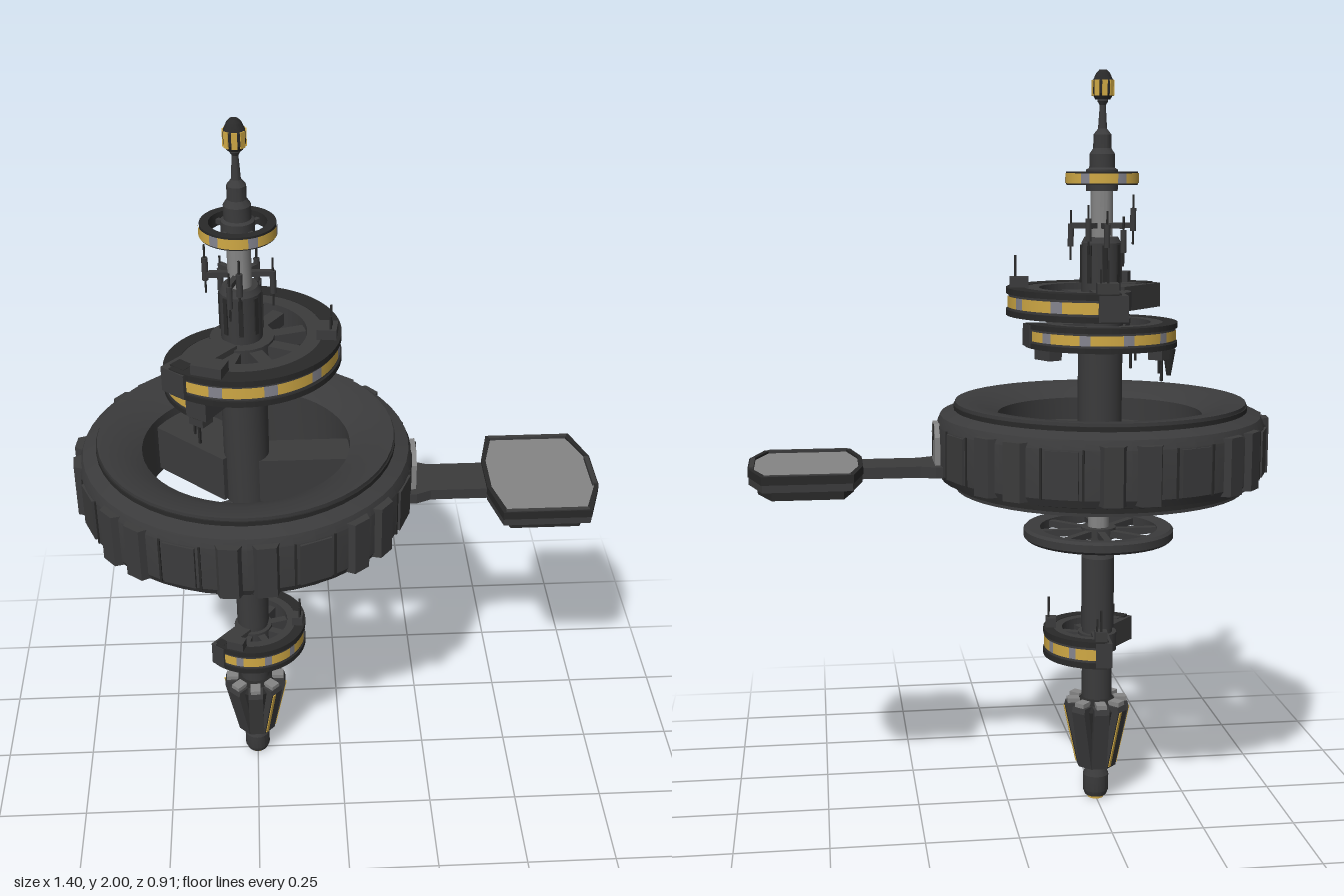
import * as THREE from 'three';
import { toCreasedNormals } from 'three/addons/utils/BufferGeometryUtils.js';

const mat = (name, color) => {
  const m = new THREE.MeshStandardMaterial({ color });
  m.name = name;
  return m;
};
const DEG = Math.PI / 180;

export function createModel() {
  const hull = mat('charcoal hull', 0x3b3b3c);
  const dark = mat('dark trim', 0x292929);
  const steel = mat('light steel', 0x858585);
  const yellow = mat('yellow lights', 0xd0a945);
  const glass = mat('grey windows', 0x85858f);

  const model = new THREE.Group();
  model.name = 'spaceStation';
  const station = new THREE.Group();
  station.name = 'station';
  station.position.x = -0.25;
  model.add(station);

  const add = (parent, name, geo, material, x = 0, y = 0, z = 0) => {
    const m = new THREE.Mesh(geo, material);
    m.name = name;
    m.position.set(x, y, z);
    parent.add(m);
    return m;
  };
  const box = (parent, name, w, h, d, material, x, y, z = 0) =>
    add(parent, name, new THREE.BoxGeometry(w, h, d), material, x, y, z);
  const lathe = (parent, name, pts, material, sides = 20) =>
    add(parent, name, toCreasedNormals(new THREE.LatheGeometry(pts.map(p => new THREE.Vector2(...p)), sides), 0.4), material);
  // group turned so that its +x points outward at the given angle
  const radial = (parent, name, deg) => {
    const g = new THREE.Group();
    g.name = name;
    g.rotation.y = deg * DEG;
    parent.add(g);
    return g;
  };
  const poly = pts => new THREE.Shape(pts.map(p => new THREE.Vector2(...p)));
  // plan shape raised upward from y = 0
  const raise = (shape, h) =>
    new THREE.ExtrudeGeometry(shape, { depth: h, bevelEnabled: false, curveSegments: 24 }).rotateX(-Math.PI / 2);
  // side-on shape in x and y, centred across z
  const slab = (pts, w) =>
    new THREE.ExtrudeGeometry(poly(pts), { depth: w, bevelEnabled: false }).translate(0, 0, -w / 2);
  const arcShape = (r0, r1, a0, a1) => {
    const s = new THREE.Shape();
    s.absarc(0, 0, r1, a0 * DEG, a1 * DEG, false);
    s.absarc(0, 0, r0, a1 * DEG, a0 * DEG, true);
    return s;
  };
  // row of yellow and grey window faces around a rim
  const lightBand = (parent, r, y, h, a0, span, count) => {
    for (let i = 0; i < count; i++) {
      const geo = new THREE.CylinderGeometry(r, r, h, 4, 1, true,
        (a0 + 90 + i * span / count) * DEG, span / count * DEG);
      add(parent, 'lightBand', geo, i % 4 === 3 ? glass : yellow, 0, y);
    }
  };

  // Central column, from the nozzle up to the tip
  lathe(station, 'nozzle', [[0, 0.01], [0.03, 0.01], [0.036, 0.025], [0.036, 0.07], [0.027, 0.09], [0.027, 0.12], [0, 0.12]], hull);
  add(station, 'nozzleGlow', new THREE.CylinderGeometry(0.022, 0.022, 0.01, 16), yellow, 0, 0.006);
  lathe(station, 'engineCore', [[0, 0.1], [0.04, 0.1], [0.07, 0.27], [0.042, 0.3], [0, 0.3]], dark);
  lathe(station, 'lowerColumn', [[0, 0.28], [0.042, 0.28], [0.042, 0.5], [0.045, 0.5], [0.045, 0.7], [0.035, 0.72], [0, 0.72]], hull);
  lathe(station, 'lowerCollar', [[0, 0.71], [0.029, 0.71], [0.029, 0.84], [0, 0.84]], steel);
  lathe(station, 'middleColumn', [[0, 0.82], [0.042, 0.82], [0.042, 0.93], [0.06, 0.94], [0.06, 1.35], [0.053, 1.36],
    [0.053, 1.555], [0.045, 1.57], [0, 1.57]], hull);
  lathe(station, 'upperCollar', [[0, 1.56], [0.03, 1.56], [0.03, 1.71], [0, 1.71]], steel);
  lathe(station, 'mast', [[0, 1.69], [0.042, 1.69], [0.042, 1.745], [0.034, 1.75], [0.034, 1.785], [0.024, 1.8], [0.024, 1.835],
    [0.012, 1.85], [0.008, 1.91], [0.014, 1.92], [0.014, 1.93], [0, 1.93]], hull);
  lathe(station, 'tipPod', [[0, 1.925], [0.02, 1.925], [0.028, 1.94], [0.028, 1.97], [0.018, 1.992], [0.01, 2], [0, 2]], dark);
  for (let i = 0; i < 8; i++) {
    box(radial(station, 'tipLight', i * 45), 'tipLightPanel', 0.004, 0.04, 0.014, yellow, 0.027, 1.954);
    box(radial(station, 'columnRib', i * 45), 'rib', 0.008, 0.1, 0.012, dark, 0.052, 1.5);
  }

  // Engine petals with steel caps
  for (let i = 0; i < 8; i++) {
    const g = radial(station, 'enginePetal', i * 45);
    add(g, 'petal', slab([[0.03, 0.1], [0.052, 0.1], [0.088, 0.27], [0.084, 0.285], [0.04, 0.285]], 0.042), hull);
    box(g, 'petalCap', 0.034, 0.026, 0.028, steel, 0.066, 0.284);
    if ([0, 3, 4, 7].includes(i))
      add(g, 'petalStripe', slab([[0.045, 0.105], [0.056, 0.105], [0.091, 0.27], [0.08, 0.27]], 0.009), yellow, 0, 0, 0.012);
  }

  // Great ring
  lathe(station, 'greatRing', [[0.275, 0.93], [0.333, 0.905], [0.39, 0.9], [0.39, 0.92], [0.43, 0.93], [0.44, 0.95],
    [0.44, 1.075], [0.43, 1.1], [0.39, 1.115], [0.39, 1.135], [0.333, 1.13], [0.275, 1.1], [0.275, 0.93]], hull, 48);
  for (const y of [0.915, 1.12])
    lathe(station, 'ringTrim', [[0.385, y - 0.006], [0.394, y - 0.006], [0.394, y + 0.006], [0.385, y + 0.006]], dark, 48);
  const bump = raise(poly([[0.42, -0.04], [0.455, -0.024], [0.455, 0.024], [0.42, 0.04]]), 0.15);
  for (let i = 0; i < 8; i++) {
    for (const s of [-1, 1]) {
      if (i > 0) add(radial(station, 'ringButtress', i * 45 + s * 6), 'buttress', bump, hull, 0, 0.937);
      box(radial(station, 'ringSeam', i * 45 + 22.5 + s * 7), 'seam', 0.008, 0.13, 0.006, dark, 0.439, 1.012);
    }
    box(radial(station, 'ringPanel', i * 45 + 22.5), 'panel', 0.012, 0.12, 0.085, hull, 0.438, 1.012);
  }
  for (const a of [0, 137])
    box(radial(station, 'ringSpoke', a), 'spoke', 0.28, 0.13, a ? 0.14 : 0.1, hull, 0.16, 1.01);

  // Dock door on the ring
  const doorPts = [[-0.056, 0.965], [0.056, 0.965], [0.056, 1.05], [0.03, 1.082], [-0.03, 1.082], [-0.056, 1.05]];
  add(station, 'dockDoor', new THREE.ExtrudeGeometry(poly(doorPts), { depth: 0.03, bevelEnabled: false })
    .rotateY(Math.PI / 2), steel, 0.42);
  box(station, 'doorSeam', 0.004, 0.04, 0.005, dark, 0.451, 1.06, -0.015);
  box(station, 'doorSeam', 0.004, 0.005, 0.035, dark, 0.451, 1.04, 0);
  box(station, 'doorSeam', 0.004, 0.05, 0.005, dark, 0.451, 1.015, 0.015);

  // Bridge and landing pad
  add(model, 'bridge', raise(poly([[0.16, -0.08], [0.2, -0.08], [0.24, -0.063], [0.42, -0.063], [0.42, 0.063], [0.24, 0.063],
    [0.2, 0.08], [0.16, 0.08]]), 0.03), hull, 0, 0.945);
  const padOutline = inset => poly([
    [0.39 + inset, -0.065], [0.418 + inset, -0.187 + inset], [0.652 - inset, -0.187 + inset], [0.69 - inset, -0.07],
    [0.69 - inset, 0.07], [0.652 - inset, 0.187 - inset], [0.418 + inset, 0.187 - inset], [0.39 + inset, 0.065]]);
  const frame = padOutline(0);
  frame.holes.push(padOutline(0.012));
  add(model, 'padBase', raise(padOutline(0.002), 0.03), hull, 0, 0.94);
  add(model, 'padFrame', raise(frame, 0.022), dark, 0, 0.96);
  add(model, 'padSurface', raise(padOutline(0.012), 0.008), steel, 0, 0.968);
  add(model, 'padKeel', raise(padOutline(0.025), 0.03), dark, 0, 0.914);
  for (const s of [-1, 1]) box(model, 'padRail', 0.22, 0.012, 0.012, hull, 0.535, 0.978, s * 0.178);
  box(model, 'padRail', 0.012, 0.014, 0.13, hull, 0.68, 0.979);

  // Crescent deck: rim arc, lights, spokes, end blocks and antennas (dir = side of the fittings)
  const deck = (name, R, y, h, a0, a1, dir) => {
    const g = new THREE.Group();
    g.name = name;
    g.position.y = y;
    station.add(g);
    const k = R / 0.25;
    add(g, 'rim', raise(arcShape(R * 0.66, R * 0.985, a0, a1), h), hull, 0, -h / 2);
    for (const s of [-1, 1])
      add(g, 'rimLip', raise(arcShape(R * 0.82, R * 1.01, a0, a1), h * 0.22), dark, 0, s * h * 0.41 - h * 0.11);
    lightBand(g, R * 0.993, 0, h * 0.42, a0 + 2, a1 - a0 - 4, 28);
    add(g, 'hub', new THREE.CylinderGeometry(0.07 * k + 0.012, 0.07 * k + 0.012, h * 0.7, 20), hull);
    for (let a = a0 + 30; a < a1 - 10; a += 40)
      box(radial(g, 'deckSpoke', a), 'spoke', R * 0.5, h * 0.5, 0.035 * k, hull, R * 0.45, 0);
    for (const [a, s] of [[a0, 1], [a1, -1]]) {
      const end = radial(g, 'deckEnd', a + s * 3);
      box(end, 'endBlock', R * 0.78, h * 0.95, 0.075 * k, hull, R * 0.63, 0);
      box(end, 'endHatch', R * 0.14, 0.006, 0.045 * k, dark, R * 0.88, dir * h * 0.49);
    }
    // housings and aerials
    for (const [a, mast] of [[a0 + 24, 0], [a1 - 6, 1], [a1 - 98, 1]]) {
      const f = radial(g, 'deckFitting', a);
      box(f, 'housing', 0.05 * k, 0.03, (mast ? 0.055 : 0.08) * k, hull, R * 0.87, dir * (h / 2 + 0.013));
      if (mast) {
        box(f, 'aerial', 0.006, 0.07, 0.006, dark, R * 0.91, dir * (h / 2 + 0.05));
        box(f, 'aerial', 0.005, 0.045, 0.005, dark, R * 0.91, dir * (h / 2 + 0.04), 0.018 * k);
      }
    }
  };
  deck('upperDeck', 0.25, 1.402, 0.07, -135, 90, 1);
  deck('middleDeck', 0.203, 1.315, 0.062, 5, 238, -1);
  deck('lowerDeck', 0.148, 0.462, 0.072, -135, 90, 1);

  // Hanging probe under the middle deck
  const probe = radial(station, 'hangingProbe', 152);
  add(probe, 'probeBody', new THREE.CylinderGeometry(0.018, 0.006, 0.07, 8), dark, 0.19, 1.245);

  // Spoked wheel below the great ring
  lathe(station, 'wheelRim', [[0.16, 0.757], [0.198, 0.753], [0.205, 0.76], [0.205, 0.78], [0.198, 0.787], [0.16, 0.783], [0.16, 0.757]], hull, 40);
  for (let i = 0; i < 8; i++)
    box(radial(station, 'wheelSpoke', i * 45), 'spoke', 0.15, 0.018, 0.02, hull, 0.095, 0.77);
  add(station, 'wheelHub', new THREE.CylinderGeometry(0.048, 0.048, 0.03, 20), hull, 0, 0.77);

  // Small lit ring near the mast
  lathe(station, 'beaconRing', [[0.072, 1.706], [0.094, 1.706], [0.094, 1.74], [0.072, 1.74], [0.072, 1.706]], dark, 32);
  lightBand(station, 0.0965, 1.723, 0.026, 0, 360, 24);
  for (let i = 0; i < 4; i++)
    box(radial(station, 'beaconSpoke', i * 90 + 45), 'spoke', 0.06, 0.012, 0.012, hull, 0.05, 1.72);

  // Sensor spindles on side arms
  [[0, 1.575, 0.082], [45, 1.59, 0.06], [90, 1.575, 0.082], [135, 1.56, 0.07], [180, 1.615, 0.085], [250, 1.57, 0.075], [270, 1.61, 0.085]]
    .forEach(([a, y, r]) => {
      const g = radial(station, 'sensor', a);
      box(g, 'sensorArm', r, 0.014, 0.014, hull, r / 2, 1.6);
      add(g, 'spindle', new THREE.CylinderGeometry(0.003, 0.003, 0.13, 6), dark, r, y);
      add(g, 'spindleBody', new THREE.CylinderGeometry(0.008, 0.008, 0.06, 8), hull, r, y);
    });

  return model;
}
